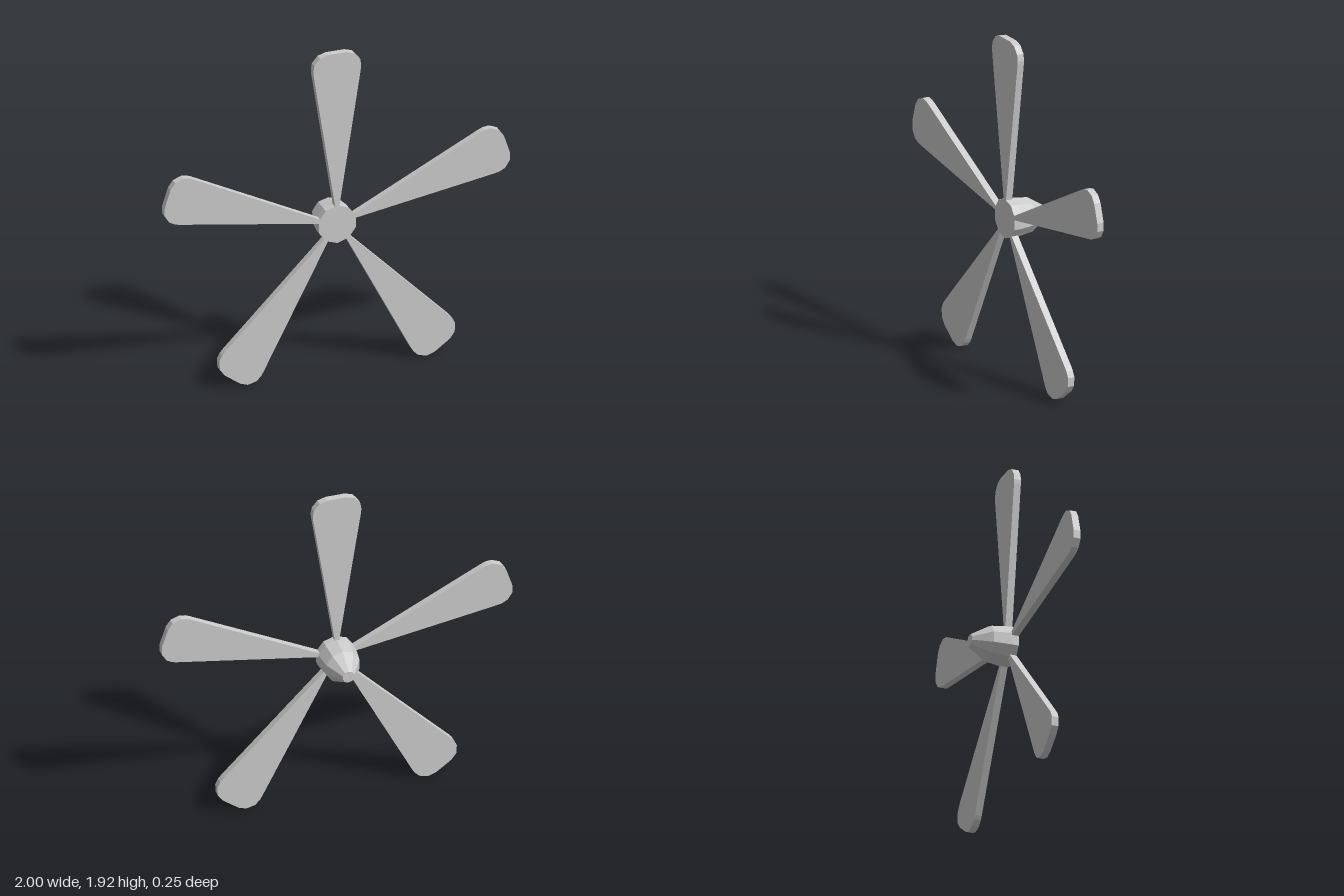
import * as THREE from 'three';

const HUB_Y = 0.885;
const BLADE_COUNT = 5;

export function createModel() {
  const model = new THREE.Group();
  model.name = 'propeller';
  const material = new THREE.MeshStandardMaterial({ color: 0xcccccc, flatShading: true });

  const rotor = new THREE.Group();
  rotor.name = 'rotor';
  rotor.position.y = HUB_Y;
  model.add(rotor);

  // Faceted hub: flat at the front, tapering to a blunt nose at the back
  const profile = [
    [0, -0.12], [0.035, -0.12], [0.1, -0.015], [0.113, 0.085], [0.113, 0.125], [0, 0.125],
  ].map(([r, y]) => new THREE.Vector2(r, y));
  const hub = new THREE.Mesh(new THREE.LatheGeometry(profile, 10), material);
  hub.name = 'hub';
  hub.rotation.x = Math.PI / 2;
  rotor.add(hub);

  // Flat blade, narrow at the root and widening to a rounded tip
  const half = [
    [0.011, 0.1], [0.137, 0.92], [0.139, 0.945], [0.133, 0.981], [0.1, 1.021], [0.055, 1.035],
  ];
  const mirrored = half.map(([x, y]) => [-x, y]).reverse();
  const outline = new THREE.Shape([...half, ...mirrored].map(([x, y]) => new THREE.Vector2(x, y)));
  const bladeGeometry = new THREE.ExtrudeGeometry(outline, { depth: 0.04, bevelEnabled: false });
  bladeGeometry.translate(0, 0, 0.085);

  for (let i = 0; i < BLADE_COUNT; i++) {
    const blade = new THREE.Mesh(bladeGeometry, material);
    blade.name = `blade${i + 1}`;
    blade.rotation.z = (i * 2 * Math.PI) / BLADE_COUNT;
    rotor.add(blade);
  }
  return model;
}
